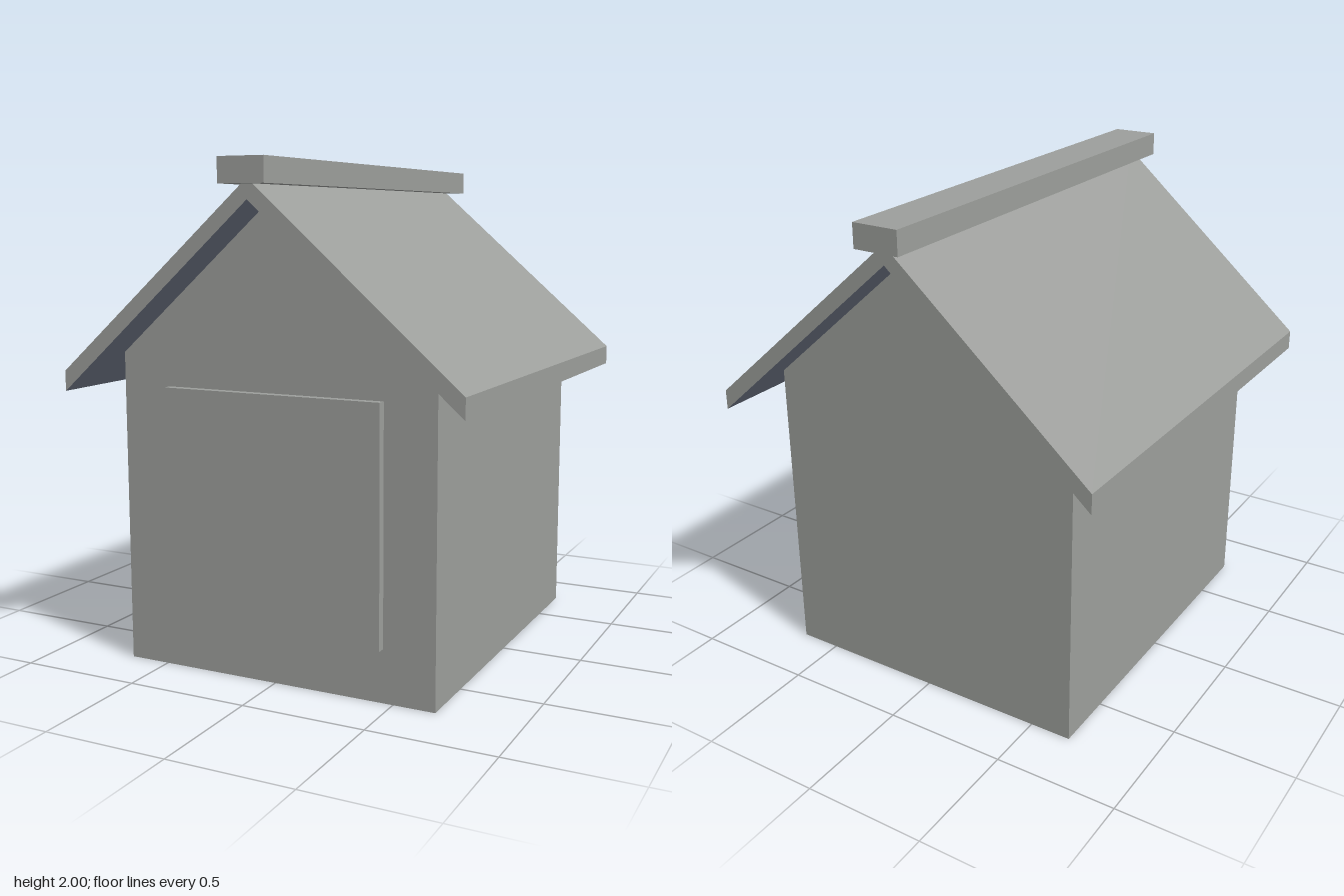
import * as THREE from 'three';

const grey = new THREE.MeshStandardMaterial({ name: 'grey', color: 0x9c9e9b });
const blueGrey = new THREE.MeshStandardMaterial({ name: 'blueGrey', color: 0x727a8a });

// Shape in x/y pushed along z from z0 to z1
function extrude(points, z0, z1, hole) {
  const toVectors = (list) => list.map(([x, y]) => new THREE.Vector2(x, y));
  const shape = new THREE.Shape(toVectors(points));
  if (hole) shape.holes.push(new THREE.Path(toVectors(hole)));
  const geometry = new THREE.ExtrudeGeometry(shape, { depth: z1 - z0, bevelEnabled: false });
  return geometry.translate(0, 0, z0);
}

const rectangle = (w, y0, y1) => [[-w, y0], [w, y0], [w, y1], [-w, y1]];

export function createModel() {
  const house = new THREE.Group();
  house.name = 'house';

  function add(name, geometry, material = grey) {
    const mesh = new THREE.Mesh(geometry, material);
    mesh.name = name;
    house.add(mesh);
  }

  // Walls with pointed gables
  add('walls', extrude(
    [[-0.67, 0], [0.67, 0], [0.67, 1.26], [0, 1.85], [-0.67, 1.26]], -0.755, 0.755));

  // Folded roof slab with vertical eave ends
  const roof = extrude(
    [[-0.835, 1.115], [0, 1.85], [0.835, 1.115], [0.835, 1.195], [0, 1.925], [-0.835, 1.195]],
    -0.92, 0.92);
  // Downward faces take the underside colour
  roof.clearGroups();
  const normals = roof.attributes.normal;
  for (let i = 0; i < normals.count; i += 3) {
    roof.addGroup(i, 3, normals.getY(i) < -0.5 ? 1 : 0);
  }
  add('roof', roof, [grey, blueGrey]);

  // Ridge cap along the top
  const cap = new THREE.BoxGeometry(0.19, 0.095, 1.925);
  cap.translate(0, 1.9525, 0);
  add('ridgeCap', cap);

  // Front hatch: frame with a flush panel
  const opening = rectangle(0.375, 0.295, 1.05);
  add('hatchFrame', extrude(rectangle(0.46, 0.21, 1.135), 0.755, 0.79, opening));
  add('hatchPanel', extrude(opening, 0.755, 0.79));

  return house;
}
